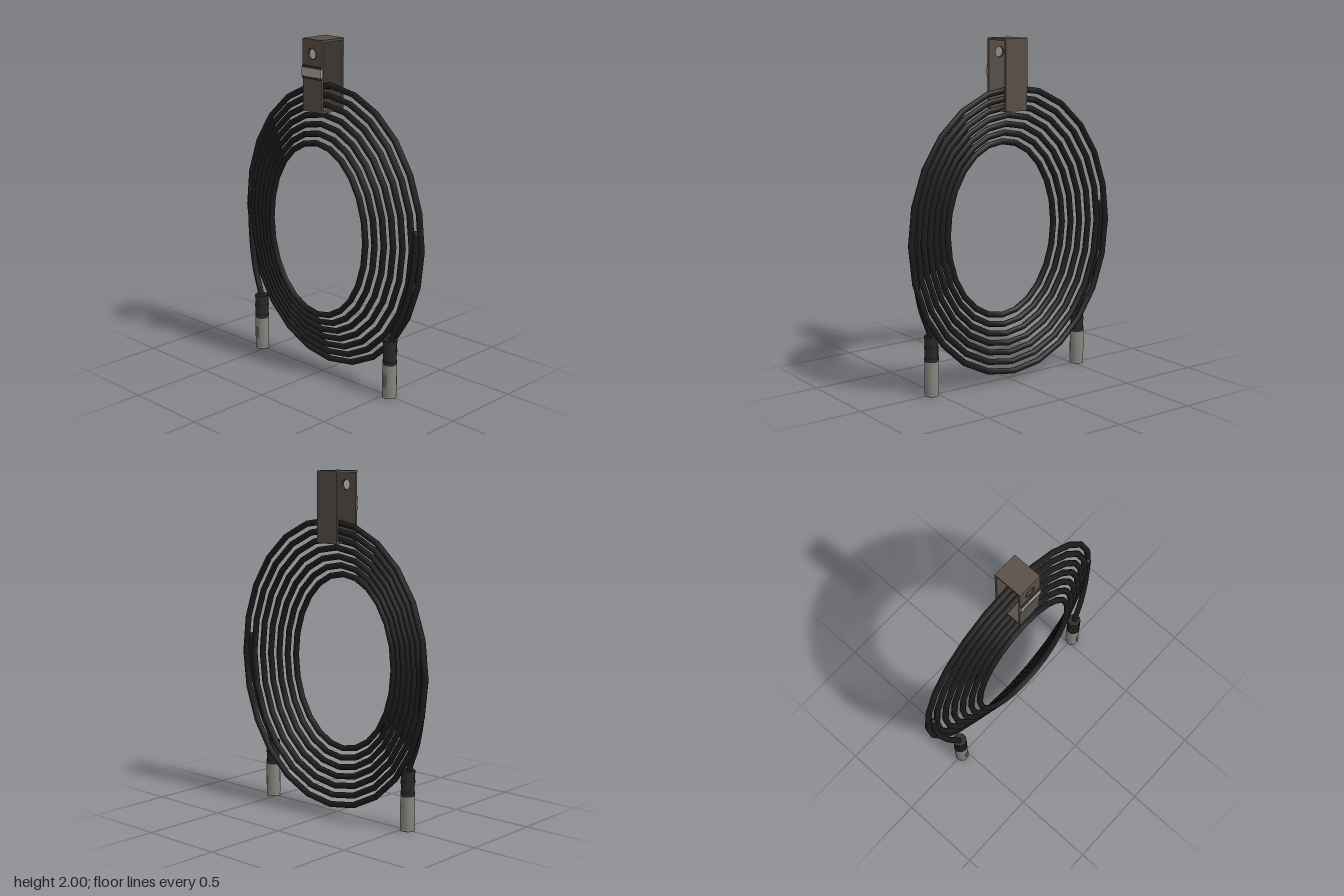
import * as THREE from 'three';

const mat = (color, side = THREE.FrontSide) => new THREE.MeshStandardMaterial({ color, side });
const rubber = mat(0x1c1c1c);
const boot = mat(0x2b2927);
const metal = mat(0x85857f, THREE.DoubleSide);
const leather = mat(0x574e47);
const trim = mat(0x35302c);
const buckle = mat(0xa5a195);

function add(parent, name, geometry, material, x = 0, y = 0, z = 0) {
  const mesh = new THREE.Mesh(geometry, material);
  mesh.name = name;
  mesh.position.set(x, y, z);
  parent.add(mesh);
  return mesh;
}

// Flat ellipse used as the path of one cable loop
class Ellipse extends THREE.Curve {
  constructor(rx, ry) {
    super();
    this.rx = rx;
    this.ry = ry;
  }
  getPoint(t, target = new THREE.Vector3()) {
    const a = t * Math.PI * 2;
    return target.set(this.rx * Math.cos(a), this.ry * Math.sin(a), 0);
  }
  // Even angles keep the loop symmetric
  getPointAt(t, target) { return this.getPoint(t, target); }
  getTangentAt(t, target) { return this.getTangent(t, target); }
  getTangent(t, target = new THREE.Vector3()) {
    const a = t * Math.PI * 2;
    return target.set(-this.rx * Math.sin(a), this.ry * Math.cos(a), 0).normalize();
  }
}

function createCoil() {
  const coil = new THREE.Group();
  coil.name = 'cableCoil';
  const loops = 7;
  for (let i = 0; i < loops; i++) {
    const k = i / (loops - 1);
    const path = new Ellipse(0.697 - 0.315 * k, 0.831 - 0.315 * k);
    add(coil, 'cableLoop', new THREE.TubeGeometry(path, 24, 0.018, 8, true), rubber,
      0, 0.89, -0.062 + 0.112 * k);
  }
  return coil;
}

// Lead leaving the coil, ending in a plug; side is +1 (left) or -1 (right)
function createLead(side) {
  const lead = new THREE.Group();
  lead.name = side > 0 ? 'leftLead' : 'rightLead';
  const path = new THREE.CatmullRomCurve3([
    [0.668, 0.99, -0.044], [0.667, 0.85, -0.042], [0.645, 0.66, -0.03],
    [0.6, 0.49, -0.014], [0.55, 0.38, -0.002], [0.533, 0.32, 0],
  ].map(([x, y, z]) => new THREE.Vector3(side * x, y, z)));
  add(lead, 'leadCable', new THREE.TubeGeometry(path, 14, 0.018, 8), rubber);
  add(lead, 'leadEnd', new THREE.SphereGeometry(0.018, 8, 6), rubber, side * 0.668, 0.99, -0.044);

  const plug = new THREE.Group();
  plug.name = 'plug';
  plug.position.x = side * 0.533;
  lead.add(plug);
  add(plug, 'boot', new THREE.CylinderGeometry(0.04, 0.04, 0.15, 10), boot, 0, 0.275, 0);
  for (const y of [0.215, 0.28, 0.338]) {
    add(plug, 'bootRidge', new THREE.CylinderGeometry(0.043, 0.043, 0.016, 10), boot, 0, y, 0);
  }
  // Hollow metal shell with a rolled lip
  const shell = [[0.03, 0.2], [0.042, 0.2], [0.042, 0.02], [0.039, 0.015], [0.039, 0.008],
    [0.042, 0.006], [0.042, 0], [0.035, 0], [0.035, 0.03], [0, 0.03]];
  add(plug, 'shell', new THREE.LatheGeometry(
    shell.map(([r, y]) => new THREE.Vector2(r, y)).reverse(), 16), metal);
  add(plug, 'contactFace', new THREE.CylinderGeometry(0.034, 0.034, 0.01, 12), boot, 0, 0.027, 0);
  add(plug, 'latch', new THREE.BoxGeometry(0.016, 0.07, 0.01), metal, 0, 0.105, 0.041);
  return lead;
}

function createHanger() {
  const hanger = new THREE.Group();
  hanger.name = 'hangerStrap';
  const w = 0.15, bottom = 1.59, top = 2, h = top - bottom, mid = (top + bottom) / 2;
  const back = -0.09, front = 0.085, t = 0.013, depth = front - back;

  // Front panel with a round eyelet hole
  const panel = new THREE.Shape();
  panel.moveTo(-w / 2, bottom).lineTo(w / 2, bottom).lineTo(w / 2, top).lineTo(-w / 2, top).closePath();
  const hole = new THREE.Path();
  hole.absarc(0, 1.918, 0.03, 0, Math.PI * 2, true);
  panel.holes.push(hole);
  add(hanger, 'frontPanel',
    new THREE.ExtrudeGeometry(panel, { depth: t, bevelEnabled: false, curveSegments: 10 }),
    leather, 0, 0, front - t);
  add(hanger, 'eyelet', new THREE.TorusGeometry(0.031, 0.003, 6, 20), leather, 0, 1.918, front);

  add(hanger, 'backPanel', new THREE.BoxGeometry(w, h, t), leather, 0, mid, back + t / 2);
  for (const [name, y] of [['topPanel', top - t / 2], ['bottomPanel', bottom + t / 2]]) {
    add(hanger, name, new THREE.BoxGeometry(w, t, depth - 2 * t), leather, 0, y, (front + back) / 2);
  }

  // Pale band with dark edging
  add(hanger, 'band', new THREE.BoxGeometry(w, 0.048, 0.009), buckle, 0, 1.815, front + 0.0045);
  for (const y of [1.784, 1.846]) {
    add(hanger, 'bandEdge', new THREE.BoxGeometry(w, 0.012, 0.007), trim, 0, y, front + 0.0035);
  }
  return hanger;
}

export function createModel() {
  const model = new THREE.Group();
  model.name = 'coiledCable';
  model.add(createCoil(), createLead(1), createLead(-1), createHanger());
  return model;
}
